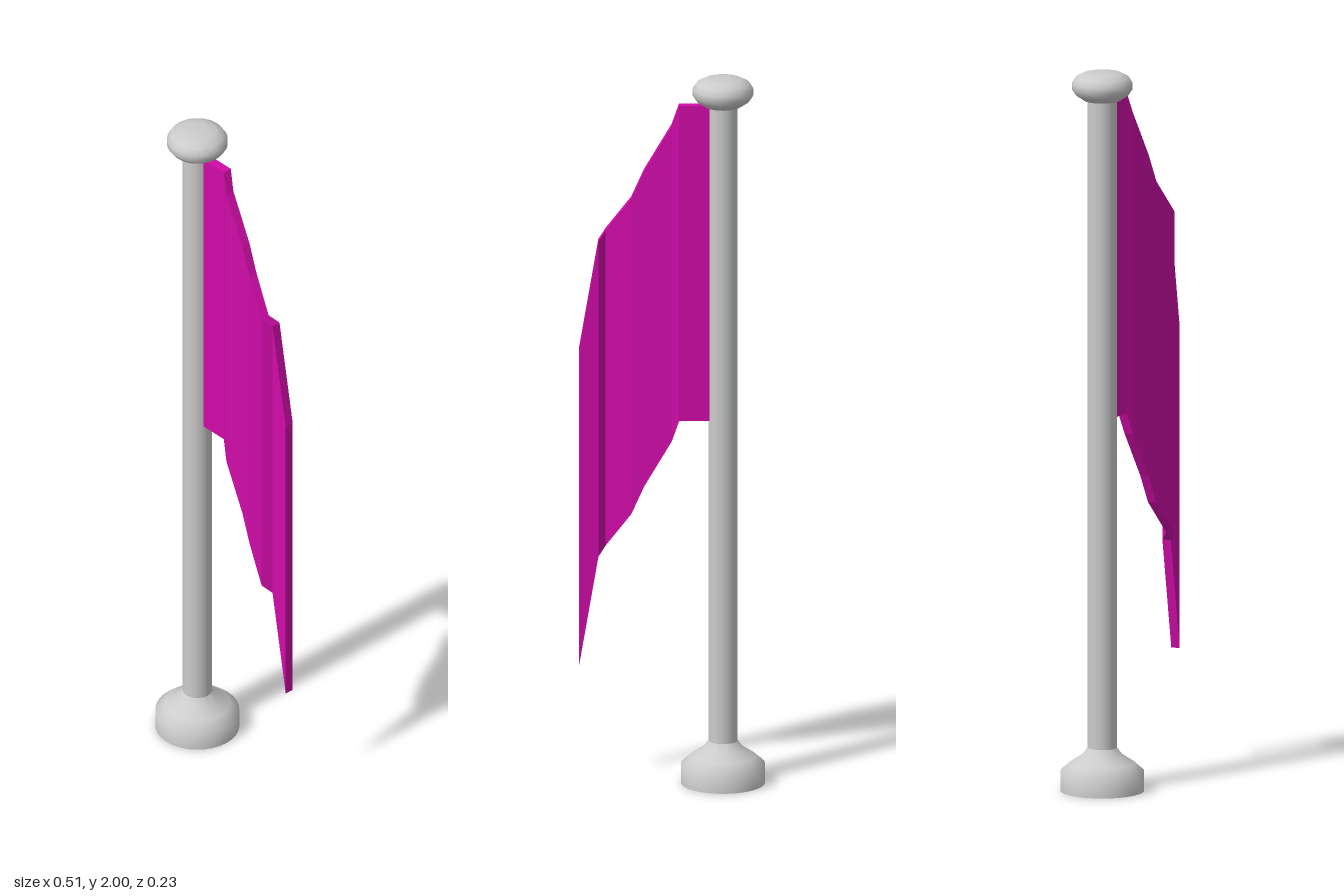
import * as THREE from 'three';
import { toCreasedNormals } from 'three/addons/utils/BufferGeometryUtils.js';

const POLE_X = -0.14;
const grey = new THREE.MeshStandardMaterial({ color: 0xcccccc });
const cloth = new THREE.MeshStandardMaterial({ color: 0xd00ca8 });

// Turned part around the pole axis; profile is [radius, y] from bottom to top
function turned(name, profile, crease) {
  const points = profile.map(([r, y]) => new THREE.Vector2(r, y));
  const mesh = new THREE.Mesh(toCreasedNormals(new THREE.LatheGeometry(points, 32), crease), grey);
  mesh.name = name;
  mesh.position.x = POLE_X;
  return mesh;
}

// Drooping cloth: a box whose columns follow the folds
function flagCloth() {
  const height = 0.895;
  // x, z, top y of each fold line
  const folds = [
    [-0.12, 0, 1.925], [-0.02, 0, 1.925], [0, 0.009, 1.865], [0.075, 0.019, 1.735],
    [0.11, 0.025, 1.655], [0.18, 0.045, 1.56], [0.2, 0.023, 1.535], [0.253, 0.023, 1.225],
  ];
  const n = folds.length - 1;
  const geometry = new THREE.BoxGeometry(n, 1, 0.026, n, 1, 1);
  const p = geometry.attributes.position;
  for (let i = 0; i < p.count; i++) {
    const [x, z, top] = folds[Math.round(p.getX(i) + n / 2)];
    p.setXYZ(i, x, top - (p.getY(i) > 0 ? 0 : height), z + p.getZ(i));
  }
  const mesh = new THREE.Mesh(toCreasedNormals(geometry, 0.1), cloth);
  mesh.name = 'flag';
  return mesh;
}

export function createModel() {
  const model = new THREE.Group();
  model.name = 'flagpole';

  // Flared foot
  model.add(turned('base', [[0, 0], [0.115, 0], [0.115, 0.055], [0.09, 0.077], [0.055, 0.1], [0.04, 0.12]], 0.9));

  // Shaft
  const pole = new THREE.Mesh(new THREE.CylinderGeometry(0.04, 0.04, 1.84, 32), grey);
  pole.name = 'pole';
  pole.position.set(POLE_X, 1.02, 0);
  model.add(pole);

  // Rounded cap
  model.add(turned('finial', [
    [0, 1.92], [0.05, 1.922], [0.072, 1.937], [0.083, 1.953], [0.083, 1.97],
    [0.073, 1.986], [0.052, 1.997], [0.025, 2], [0, 2],
  ], 1.1));

  model.add(flagCloth());
  return model;
}
